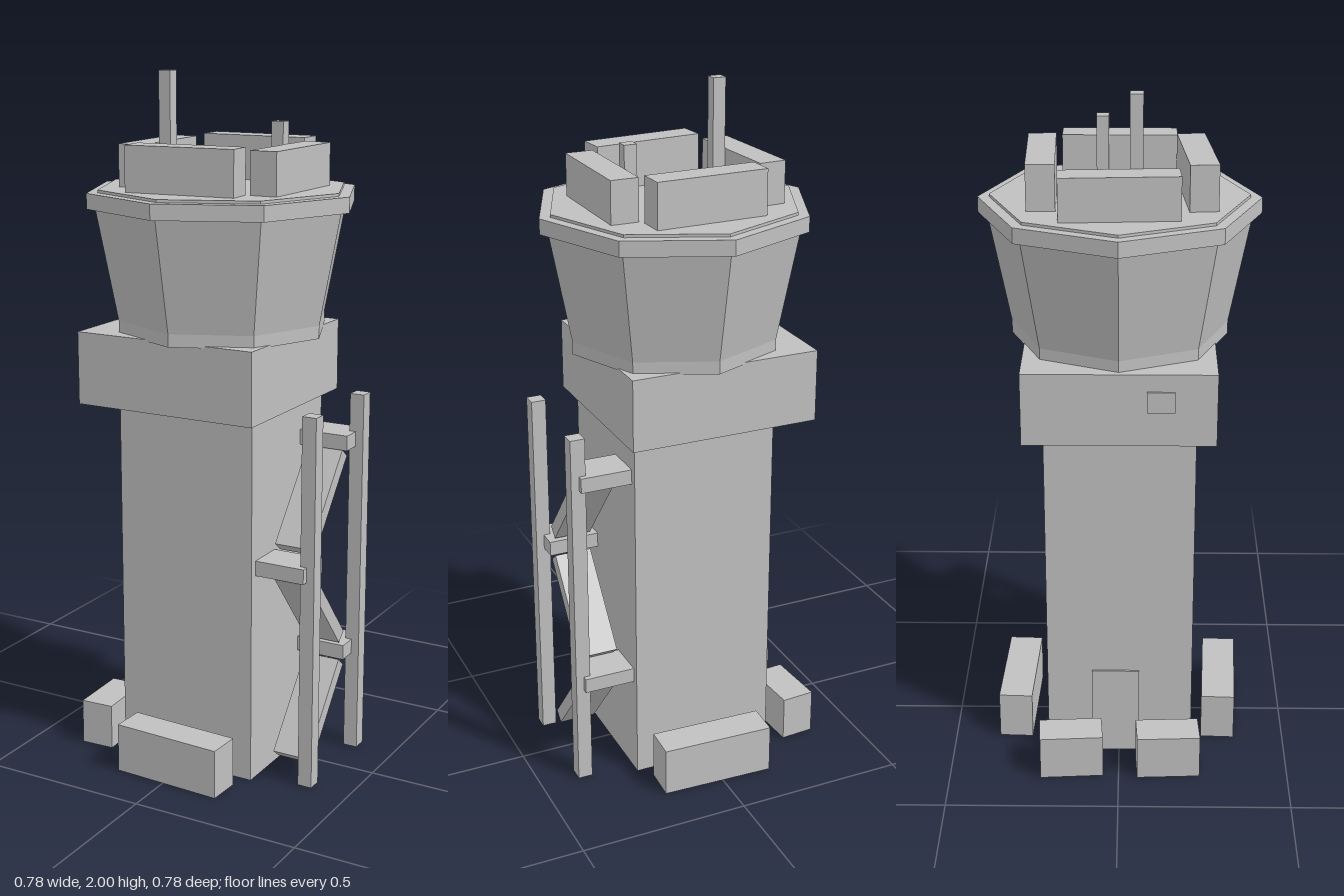
import * as THREE from 'three';

export function createModel() {
  const model = new THREE.Group();
  model.name = 'controlTower';
  const concrete = new THREE.MeshStandardMaterial({ color: 0xc0c0c0, flatShading: true });
  concrete.name = 'concrete grey';

  const add = (name, geometry, x, y, z) => {
    const mesh = new THREE.Mesh(geometry, concrete);
    mesh.name = name;
    mesh.position.set(x, y, z);
    model.add(mesh);
    return mesh;
  };
  // box standing on height y0, optionally turned about the vertical
  const box = (name, w, h, d, x, y0, z, turn = 0) => {
    const mesh = add(name, new THREE.BoxGeometry(w, h, d), x, y0 + h / 2, z);
    mesh.rotation.y = turn;
    return mesh;
  };
  // eight-sided section between two heights, corners on the axes
  const octagon = (name, rTop, rBottom, y0, y1) =>
    add(name, new THREE.CylinderGeometry(rTop, rBottom, y1 - y0, 8), 0, (y0 + y1) / 2, 0);

  // shaft and the offset collar below the cab
  box('shaft', 0.429, 1.08, 0.429, -0.002, 0, 0.002);
  box('collar', 0.56, 0.21, 0.534, -0.042, 1.07, 0.001);
  box('collarWindow', 0.008, 0.06, 0.076, -0.323, 1.17, 0.115);
  box('door', 0.008, 0.28, 0.14, -0.218, 0, -0.01);

  // flared cab with its roof
  octagon('cabSkirt', 0.306, 0.306, 1.275, 1.312);
  octagon('cabWalls', 0.368, 0.306, 1.312, 1.632);
  octagon('roofRim', 0.392, 0.392, 1.63, 1.674);
  octagon('roofDeck', 0.36, 0.36, 1.67, 1.682);

  // rooftop parapet blocks: width, depth, x, z, turn, top
  [
    [0.324, 0.079, 0, -0.214, 0.03, 1.81],
    [0.324, 0.079, 0, 0.212, 0.09, 1.81],
    [0.08, 0.324, 0.212, -0.002, 0, 1.802],
    [0.079, 0.324, -0.213, 0, 0.06, 1.802],
  ].forEach(([w, d, x, z, turn, top]) => box('parapetBlock', w, top - 1.68, d, x, 1.68, z, turn));

  // antennas
  box('tallAntenna', 0.037, 0.32, 0.035, -0.153, 1.68, 0.046);
  box('shortAntenna', 0.037, 0.185, 0.035, 0.153, 1.68, -0.049);

  // barrier blocks around the foot: width, height, depth, x, z, turn
  [
    [0.333, 0.145, 0.1, 0.013, 0.307, -0.044],
    [0.333, 0.145, 0.1, 0.013, -0.309, -0.04],
    [0.1, 0.135, 0.185, -0.31, -0.142, 0.07],
    [0.1, 0.135, 0.185, -0.308, 0.145, 0.05],
  ].forEach(([w, h, d, x, z, turn]) => box('footBlock', w, h, d, x, 0, z, turn));

  // outside stair: two posts, brackets to the shaft, sloping flights
  for (const z of [-0.154, 0.152]) box('stairPost', 0.043, 1.095, 0.043, 0.365, 0, z);
  [[0.3, -0.133], [0.62, 0.135], [0.94, -0.133]].forEach(([y, z]) =>
    box('stairLanding', 0.16, 0.044, 0.117, 0.283, y, z));
  [
    [0.1, 0.042, -0.1, 0.28],
    [-0.1, 0.36, 0.1, 0.6],
    [0.1, 0.683, -0.1, 0.926],
  ].forEach(([z0, y0, z1, y1]) => {
    const length = Math.hypot(z1 - z0, y1 - y0);
    const flight = add('stairFlight', new THREE.BoxGeometry(0.111, 0.04, length),
      0.289, (y0 + y1) / 2, (z0 + z1) / 2);
    flight.rotation.x = -Math.atan2(y1 - y0, z1 - z0);
  });

  return model;
}
